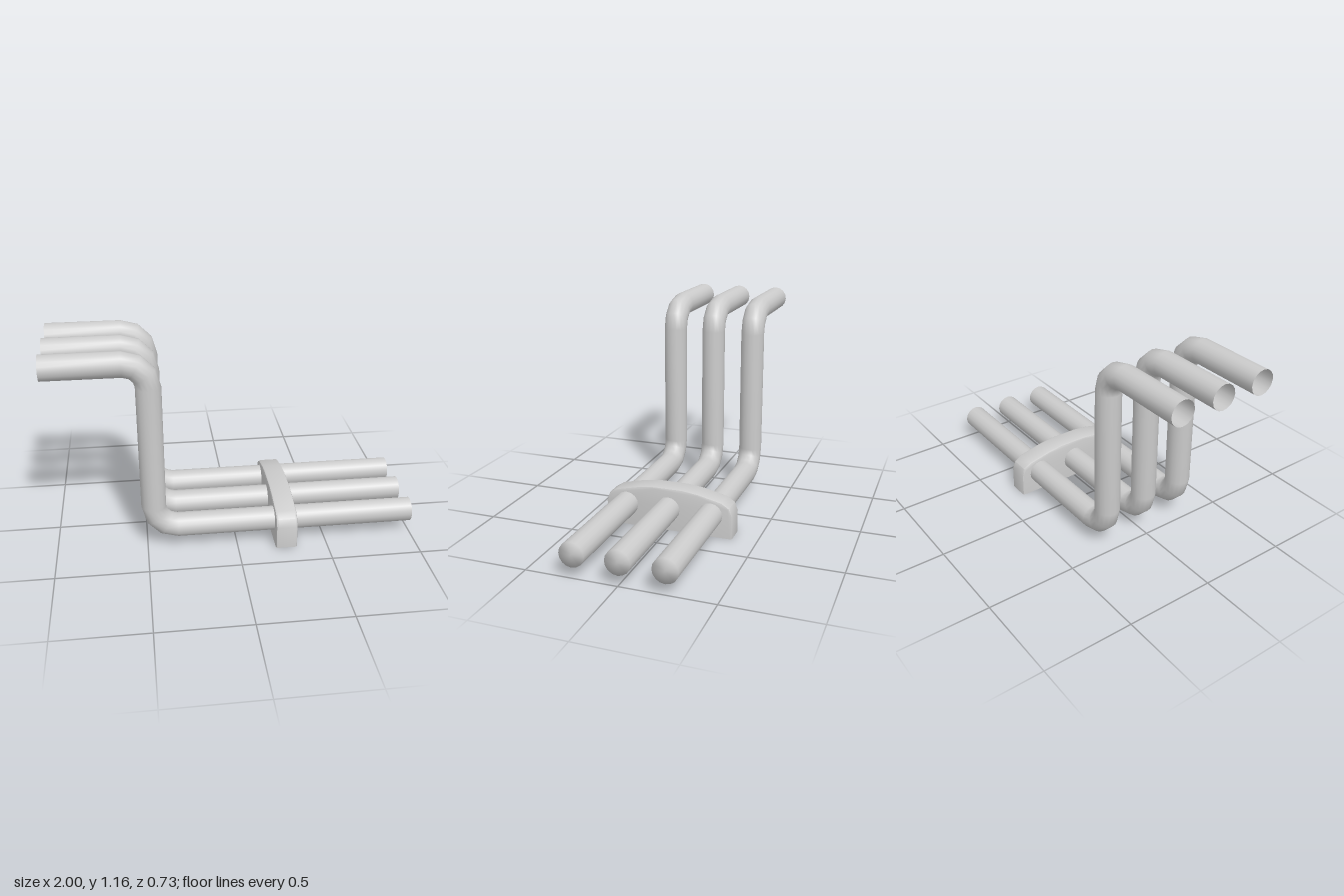
import * as THREE from 'three';
import { toCreasedNormals } from 'three/addons/utils/BufferGeometryUtils.js';

const SIDES = 16, RADIUS = 0.068, BEND = 0.13;

// Centreline stations of one pipe: [x, y, direction angle in the xy plane]
function pipeStations() {
  const list = [[-1, 1.093, 0]];
  for (let i = 0; i <= 3; i++) { // upper bend, turning down
    const a = (i / 3) * Math.PI / 2;
    list.push([-0.588 + BEND * Math.sin(a), 0.963 + BEND * Math.cos(a), -a]);
  }
  for (let i = 0; i <= 3; i++) { // lower bend, turning level
    const a = (i / 3) * Math.PI / 2;
    list.push([-0.328 - BEND * Math.cos(a), 0.255 - BEND * Math.sin(a), a - Math.PI / 2]);
  }
  list.push([1, 0.125, 0]);
  return list;
}

// Rings swept along the stations, open at the start and closed at the end
function pipeGeometry() {
  const stations = pipeStations(), pos = [], index = [];
  for (const [x, y, a] of stations) {
    for (let j = 0; j < SIDES; j++) {
      const t = (j / SIDES) * Math.PI * 2;
      const u = RADIUS * Math.cos(t);
      pos.push(x - Math.sin(a) * u, y + Math.cos(a) * u, RADIUS * Math.sin(t));
    }
  }
  for (let i = 0; i < stations.length - 1; i++) {
    for (let j = 0; j < SIDES; j++) {
      const k = (j + 1) % SIDES;
      const a = i * SIDES + j, b = i * SIDES + k, c = a + SIDES, d = b + SIDES;
      index.push(a, b, c, b, d, c);
    }
  }
  const last = (stations.length - 1) * SIDES, centre = stations.length * SIDES;
  pos.push(1, 0.125, 0);
  for (let j = 0; j < SIDES; j++) index.push(last + j, last + (j + 1) % SIDES, centre);
  const g = new THREE.BufferGeometry();
  g.setAttribute('position', new THREE.Float32BufferAttribute(pos, 3));
  g.setIndex(index);
  g.computeVertexNormals();
  return g;
}

// Arched clamp block, bevelled everywhere except along its flat base
function clampGeometry() {
  const bevel = 0.012, depth = 0.12;
  const half = [[0.353, 0.012], [0.353, 0.127], [0.338, 0.165], [0.3, 0.19], [0.17, 0.22], [0.08, 0.231]];
  const outline = [...half, ...half.map(([z, y]) => [-z, y]).reverse()];
  const shape = new THREE.Shape(outline.map(([z, y]) => new THREE.Vector2(z, y)));
  const g = new THREE.ExtrudeGeometry(shape, {
    depth: depth - 2 * bevel, bevelEnabled: true, bevelSize: bevel, bevelThickness: bevel, bevelSegments: 2,
  });
  const p = g.attributes.position;
  for (let i = 0; i < p.count; i++) if (p.getY(i) < 0.02) p.setY(i, 0);
  g.translate(0, 0, bevel - depth / 2);
  g.rotateY(Math.PI / 2);
  return toCreasedNormals(g, 0.7);
}

export function createModel() {
  const group = new THREE.Group();
  const pipeMaterial = new THREE.MeshStandardMaterial({ color: 0xcccccc, side: THREE.DoubleSide });
  const clampMaterial = new THREE.MeshStandardMaterial({ color: 0xcccccc });

  // Three parallel pipes
  const pipe = pipeGeometry();
  ['backPipe', 'middlePipe', 'frontPipe'].forEach((name, i) => {
    const mesh = new THREE.Mesh(pipe, pipeMaterial);
    mesh.name = name;
    mesh.position.z = (i - 1) * 0.243;
    group.add(mesh);
  });

  // Bracket holding the pipes together
  const clamp = new THREE.Mesh(clampGeometry(), clampMaterial);
  clamp.name = 'pipeClamp';
  clamp.position.x = 0.27;
  group.add(clamp);
  return group;
}
